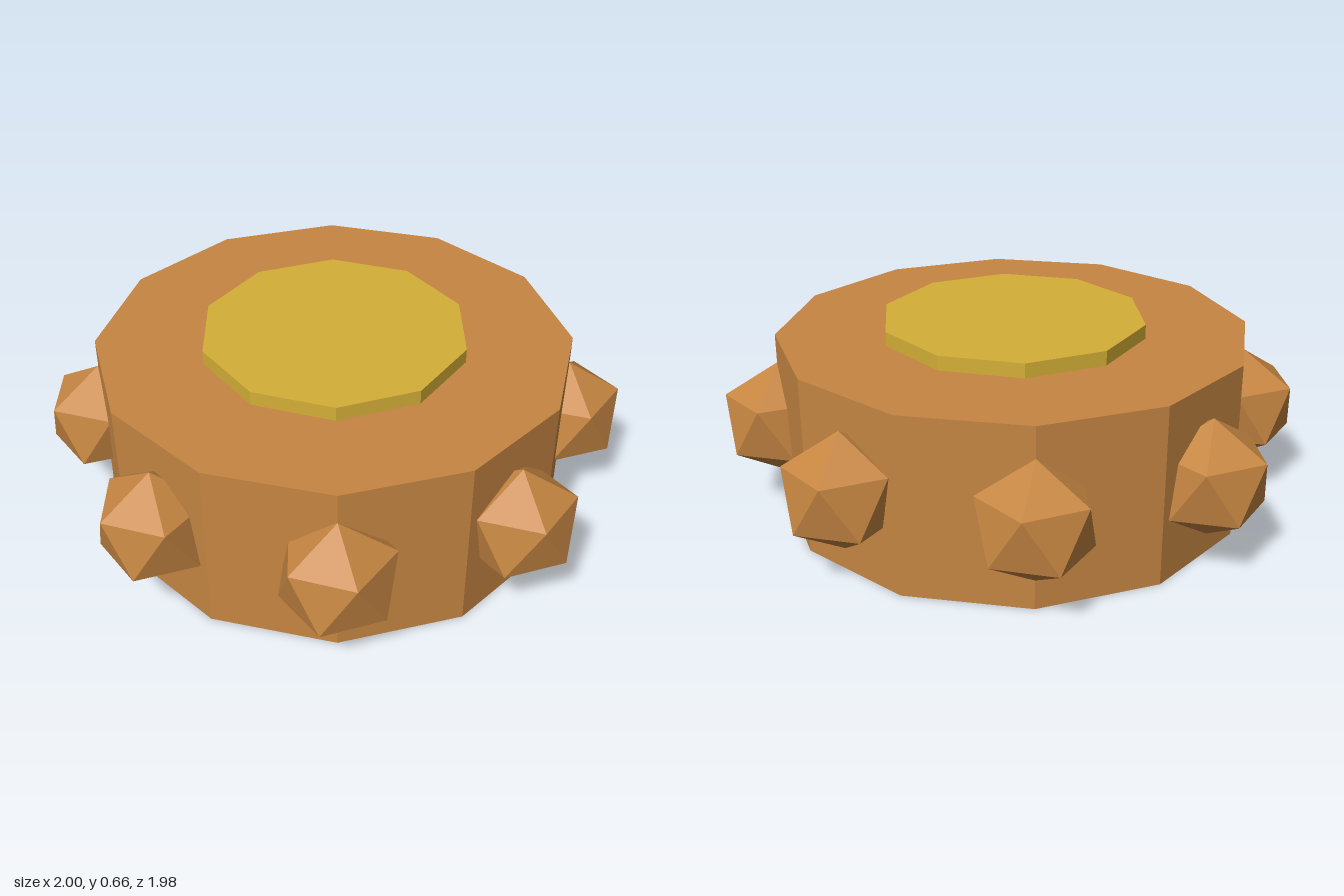
import * as THREE from 'three';

export function createModel() {
  const group = new THREE.Group();
  const bronze = new THREE.MeshStandardMaterial({ color: 0xc68642, flatShading: true });
  bronze.name = 'bronze';
  const gold = new THREE.MeshStandardMaterial({ color: 0xd4af37, flatShading: true });
  gold.name = 'gold';

  const add = (name, geometry, material, x, y, z) => {
    const mesh = new THREE.Mesh(geometry, material);
    mesh.name = name;
    mesh.position.set(x, y, z);
    group.add(mesh);
  };

  // Twelve-sided drum and ten-sided plate set into its top
  add('drum', new THREE.CylinderGeometry(0.815, 0.815, 0.614, 12), bronze, 0, 0.307, 0);
  add('topPlate', new THREE.CylinderGeometry(0.458, 0.458, 0.1, 10), gold, 0, 0.614, 0);

  // Eight faceted studs around the rim, each standing on a corner and all facing the same way
  const studGeometry = new THREE.IcosahedronGeometry(0.204, 0);
  studGeometry.rotateZ(-Math.atan(2 / (1 + Math.sqrt(5))));
  for (let i = 0; i < 8; i++) {
    const a = (i * Math.PI) / 4;
    add(`stud${i + 1}`, studGeometry, bronze, 0.817 * Math.cos(a), 0.307, 0.817 * Math.sin(a));
  }
  return group;
}
